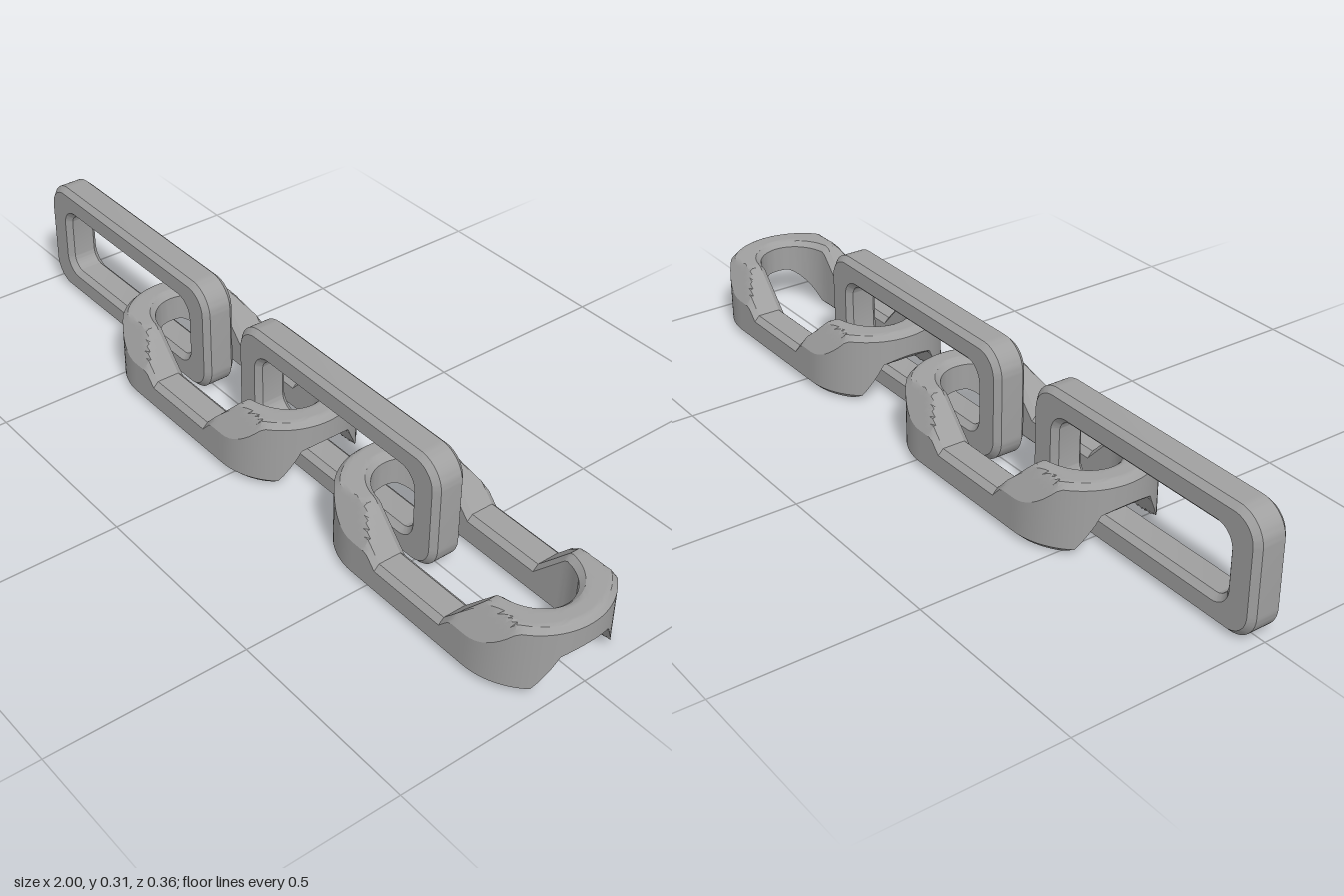
import * as THREE from 'three';
import { toCreasedNormals } from 'three/addons/utils/BufferGeometryUtils.js';

const CH = 0.014; // edge chamfer

function roundedRect(path, x0, y0, x1, y1, r) {
  path.moveTo(x0 + r, y0);
  path.lineTo(x1 - r, y0);
  path.absarc(x1 - r, y0 + r, r, -Math.PI / 2, 0);
  path.lineTo(x1, y1 - r);
  path.absarc(x1 - r, y1 - r, r, 0, Math.PI / 2);
  path.lineTo(x0 + r, y1);
  path.absarc(x0 + r, y1 - r, r, Math.PI / 2, Math.PI);
  path.lineTo(x0, y0 + r);
  path.absarc(x0 + r, y0 + r, r, Math.PI, Math.PI * 1.5);
  return path;
}

// Upright link: chamfered rounded-rectangle ring
function uprightGeometry() {
  const hx = 0.36, h = 0.307, ex = 0.083, ey = 0.07;
  const shape = roundedRect(new THREE.Shape(), -hx + CH, CH, hx - CH, h - CH, 0.058);
  shape.holes.push(roundedRect(new THREE.Path(),
    -hx + ex - CH, ey - CH, hx - ex + CH, h - ey + CH, 0.05));
  const depth = 0.06;
  const geo = new THREE.ExtrudeGeometry(shape, {
    depth, bevelEnabled: true, bevelSize: CH, bevelThickness: CH, bevelSegments: 1, curveSegments: 8,
  });
  geo.translate(0, 0, -depth / 2);
  return toCreasedNormals(geo, 0.45);
}

const clamp = THREE.MathUtils.clamp;

// Top height: low legs, sloping up to raised ends with slanted shoulders
function topY(x, z, edge) {
  const rise = clamp((Math.abs(x) - 0.105) / 0.09, 0, 1);
  const y = 0.082 + 0.096 * rise - Math.max(0, CH - edge);
  return Math.min(y, 0.1 + (0.18 - Math.abs(z)) * 1.66);
}

// Bottom height: flat legs, with a trapezoid arch under each end
function bottomY(x, z, edge) {
  const ax = Math.abs(x);
  const arch = Math.min(0.097, (0.124 - Math.abs(z)) * 1.73, (ax - 0.195) * 1.08);
  const lip = ax > 0.3 && arch > 0.09 ? ax - 0.3625 + 0.112 : 0;
  return Math.max(0, CH - edge, arch, lip);
}

// Lying link: oval ring whose cross-sections follow the two height rules
function saddleGeometry() {
  const half = 0.1825, R = 0.18, rx = 0.1075, rz = 0.092;
  const across = [0, 0.08, 0.16, 0.25, 0.34, 0.43, 0.52, 0.61, 0.68, 0.76, 0.84, 0.92, 1];
  const stations = []; // centre x and angle round the oval
  const arcN = 40;
  const xs = [];
  for (let i = -6; i <= 6; i++) xs.push(i * 0.0175);
  for (let i = 1; i <= 6; i++) {
    const x = 0.105 + (half - 0.105) * i / 6;
    xs.push(x);
    xs.unshift(-x);
  }
  for (const side of [1, -1]) {
    for (const x of xs.slice(1, -1)) stations.push([-side * x, side * Math.PI / 2]);
    for (let i = 0; i <= arcN; i++) {
      stations.push([-side * half, side * Math.PI / 2 + Math.PI * i / arcN]);
    }
  }
  const pos = [], idx = [];
  for (const [cx, a] of stations) {
    const c = Math.cos(a), s = Math.sin(a);
    const width = Math.hypot((R - rx) * c, (R - rz) * s);
    const ring = (t, rule) => {
      const x = cx + c * (rx + (R - rx) * t), z = s * (rz + (R - rz) * t);
      pos.push(x, rule(x, z, Math.min(t, 1 - t) * width), z);
    };
    across.forEach((t) => ring(t, bottomY));
    [...across].reverse().forEach((t) => ring(t, topY));
  }
  const n = across.length * 2, m = stations.length;
  for (let i = 0; i < m; i++) {
    for (let j = 0; j < n; j++) {
      const a = i * n + j, b = i * n + (j + 1) % n;
      const c = ((i + 1) % m) * n + j, d = ((i + 1) % m) * n + (j + 1) % n;
      idx.push(a, b, c, b, d, c);
    }
  }
  const geo = new THREE.BufferGeometry();
  geo.setAttribute('position', new THREE.Float32BufferAttribute(pos, 3));
  geo.setIndex(idx);
  return toCreasedNormals(geo, 0.45);
}

export function createModel() {
  const group = new THREE.Group();
  group.name = 'chain';
  const steel = new THREE.MeshStandardMaterial({ color: 0xa0a0a0 });
  steel.name = 'grey';

  const add = (name, geo, x) => {
    const mesh = new THREE.Mesh(geo, steel);
    mesh.name = name;
    mesh.position.x = x;
    group.add(mesh);
  };
  const upright = uprightGeometry();
  const saddle = saddleGeometry();
  // Alternating upright and lying links
  [-0.64, 0.21].forEach((x, i) => add('uprightLink' + (i + 1), upright, x));
  [-0.2125, 0.6375].forEach((x, i) => add('lyingLink' + (i + 1), saddle, x));
  return group;
}
